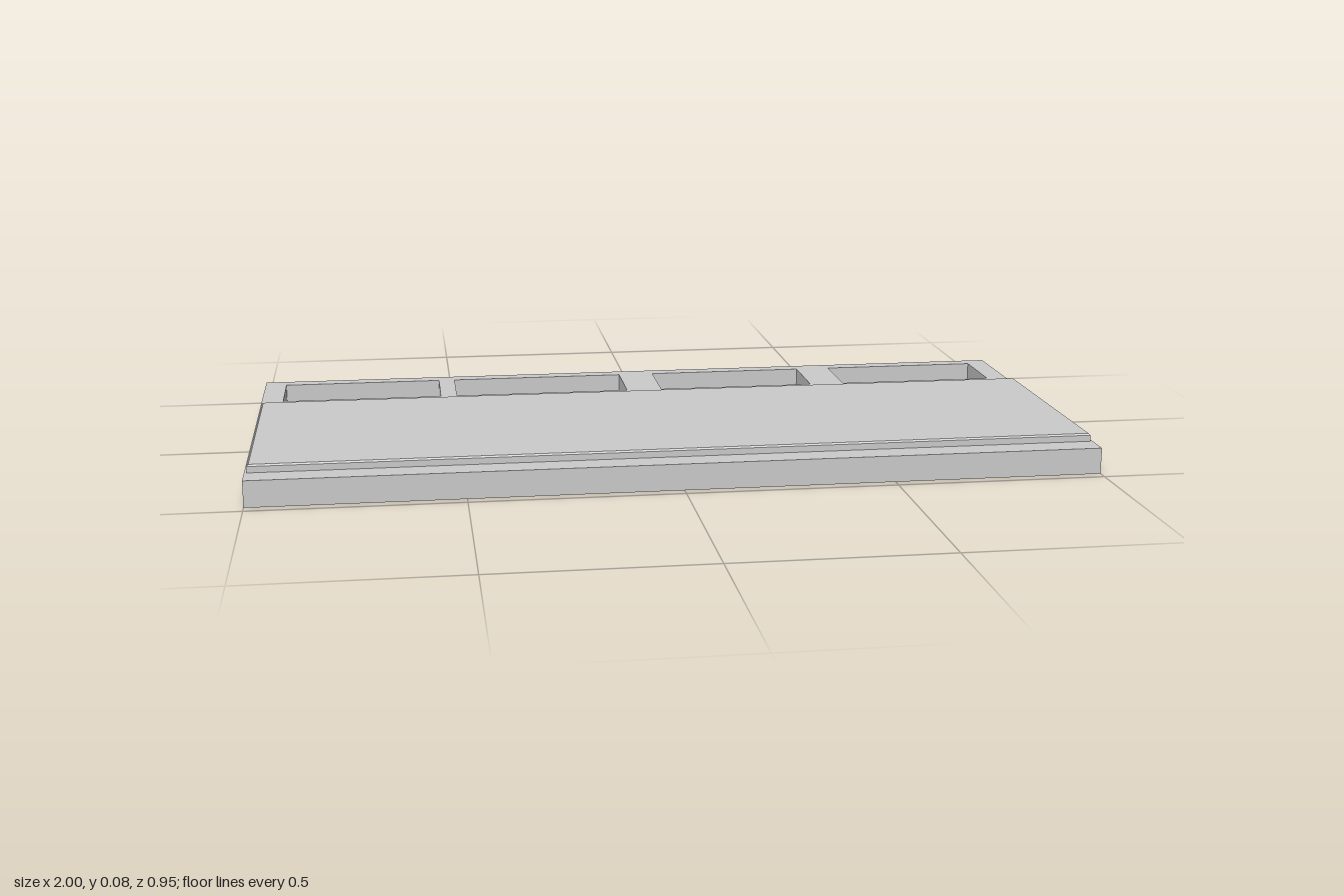
import * as THREE from 'three';

const W = 1, D = 0.474, TOP = 0.063, FLOOR = 0.005;
const POCKET_Z = [-0.436, -0.257];
const POCKETS_X = [[-0.945, -0.537], [-0.495, -0.044], [0.048, 0.454], [0.543, 0.947]];

const grey = new THREE.MeshStandardMaterial({ color: 0xcccccc, flatShading: true, side: THREE.DoubleSide });

function add(parent, name, geometry) {
  const mesh = new THREE.Mesh(geometry, grey);
  mesh.name = name;
  parent.add(mesh);
  return mesh;
}

// Four thin upright walls around a rectangle, facing outwards
function addWalls(parent, name, x0, x1, z0, z1, y0, y1) {
  const cx = (x0 + x1) / 2, cz = (z0 + z1) / 2, w = x1 - x0, d = z1 - z0;
  for (let i = 0; i < 4; i++) {
    const alongX = i % 2 === 0;
    const geometry = new THREE.PlaneGeometry(alongX ? w : d, y1 - y0)
      .translate(0, 0, (alongX ? d : w) / 2)
      .rotateY(i * Math.PI / 2)
      .translate(cx, (y0 + y1) / 2, cz);
    add(parent, name, geometry);
  }
}

// Rectangle drawn in x and -z, so that it can be laid flat facing up
function rectangle(path, x0, x1, z0, z1) {
  path.moveTo(x0, -z1);
  path.lineTo(x1, -z1);
  path.lineTo(x1, -z0);
  path.lineTo(x0, -z0);
  path.closePath();
  return path;
}

export function createModel() {
  const model = new THREE.Group();
  model.name = 'tray';

  // Hollow body, open underneath: outer walls and a top with four cut-outs
  const body = new THREE.Group();
  body.name = 'body';
  model.add(body);
  addWalls(body, 'outerWall', -W, W, -D, D, 0, TOP);
  const top = rectangle(new THREE.Shape(), -W, W, -D, D);
  for (const [x0, x1] of POCKETS_X) top.holes.push(rectangle(new THREE.Path(), x0, x1, ...POCKET_Z));
  add(body, 'topSurface', new THREE.ShapeGeometry(top).rotateX(-Math.PI / 2).translate(0, TOP, 0));

  // Sunken pockets along the back
  for (const [x0, x1] of POCKETS_X) {
    const pocket = new THREE.Group();
    pocket.name = 'pocket';
    model.add(pocket);
    addWalls(pocket, 'pocketWall', x0, x1, ...POCKET_Z, FLOOR, TOP);
    const floor = rectangle(new THREE.Shape(), x0, x1, ...POCKET_Z);
    add(pocket, 'pocketFloor', new THREE.ShapeGeometry(floor).rotateX(-Math.PI / 2).translate(0, FLOOR, 0));
  }

  // Raised panel with a fine chamfer around its upper edge
  const height = 0.019, bevel = 0.004, width = 1.988, depth = 0.585;
  const panel = new THREE.BoxGeometry(width, height, depth, 1, 2, 1);
  const p = panel.attributes.position;
  for (let i = 0; i < p.count; i++) {
    if (Math.abs(p.getY(i)) < 1e-6) p.setY(i, height / 2 - bevel);
    else if (p.getY(i) > 0) {
      p.setX(i, p.getX(i) - Math.sign(p.getX(i)) * bevel);
      p.setZ(i, p.getZ(i) - Math.sign(p.getZ(i)) * bevel);
    }
  }
  const flat = panel.toNonIndexed();
  flat.computeVertexNormals();
  add(model, 'raisedPanel', flat).position.set(0, TOP + height / 2, 0.1185);

  return model;
}
